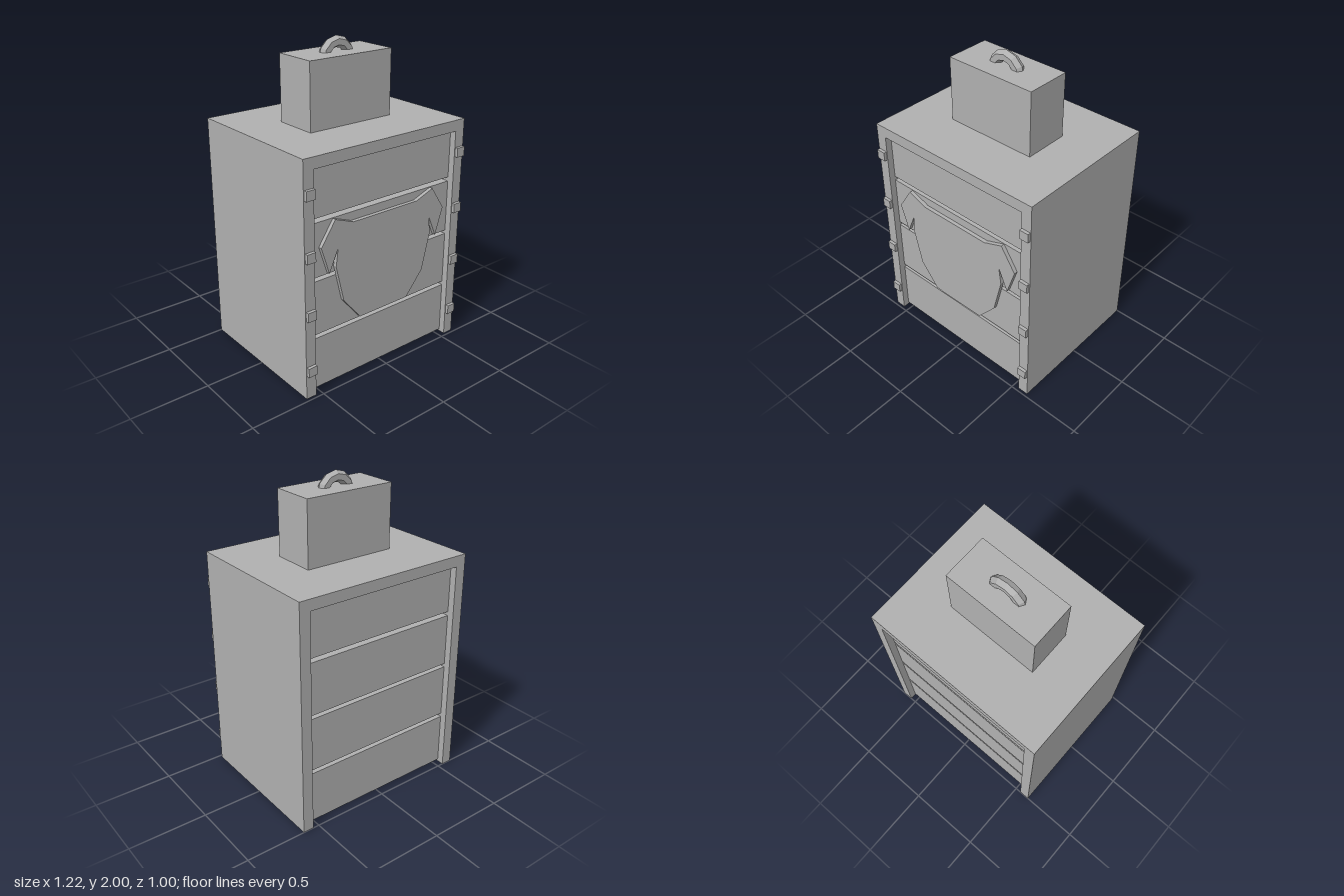
import * as THREE from 'three';

export function createModel() {
  const model = new THREE.Group();
  const grey = new THREE.MeshStandardMaterial({ color: 0xb0b0b0, flatShading: true });
  grey.name = 'grey';

  const add = (name, geometry) => {
    const mesh = new THREE.Mesh(geometry, grey);
    mesh.name = name;
    model.add(mesh);
    return mesh;
  };
  // box given by its lower and upper corners
  const box = (name, x0, x1, y0, y1, z0, z1) => {
    const mesh = add(name, new THREE.BoxGeometry(x1 - x0, y1 - y0, z1 - z0));
    mesh.position.set((x0 + x1) / 2, (y0 + y1) / 2, (z0 + z1) / 2);
    return mesh;
  };

  // outer frame: two sides and a top in one arch, open at front and back
  const arch = new THREE.Shape([
    [-0.61, 0], [-0.54, 0], [-0.54, 1.425], [0.54, 1.425],
    [0.54, 0], [0.61, 0], [0.61, 1.495], [-0.61, 1.495],
  ].map(([x, y]) => new THREE.Vector2(x, y)));
  add('frame', new THREE.ExtrudeGeometry(arch, { depth: 0.98, bevelEnabled: false }))
    .position.z = -0.5;

  // four recessed full-depth blocks with see-through gaps between them
  [[0.015, 0.355], [0.38, 0.728], [0.752, 1.09], [1.117, 1.425]].forEach(([y0, y1], i) =>
    box('block' + (i + 1), -0.54, 0.54, y0, y1, -0.455, 0.438));

  // small square studs down both front posts
  for (const side of [-1, 1]) {
    for (const y of [0.187, 0.555, 0.92, 1.29]) {
      box('stud', side * 0.575 - 0.03, side * 0.575 + 0.03, y - 0.03, y + 0.03, 0.47, 0.5);
    }
  }

  // animal head plaque with drooping ears, mirrored from one half
  const half = [
    [0.25, 1.037], [0.26, 1.042], [0.38, 1.087], [0.48, 0.937], [0.423, 0.762],
    [0.36, 0.905], [0.375, 0.79], [0.317, 0.55], [0.19, 0.397],
  ];
  const outline = [...half, ...half.map(([x, y]) => [-x, y]).reverse()];
  const head = new THREE.Shape(outline.map(([x, y]) => new THREE.Vector2(x, y)));
  add('headPlaque', new THREE.ExtrudeGeometry(head, { depth: 0.025, bevelEnabled: false }))
    .position.z = 0.437;

  // upper box
  box('upperBox', -0.305, 0.305, 1.495, 1.91, -0.153, 0.14);

  // low-poly carrying loop, its lower half sunk into the upper box
  const loop = add('handle', new THREE.TorusGeometry(0.094, 0.036, 6, 12));
  loop.position.set(0, 1.87, -0.008);

  return model;
}
